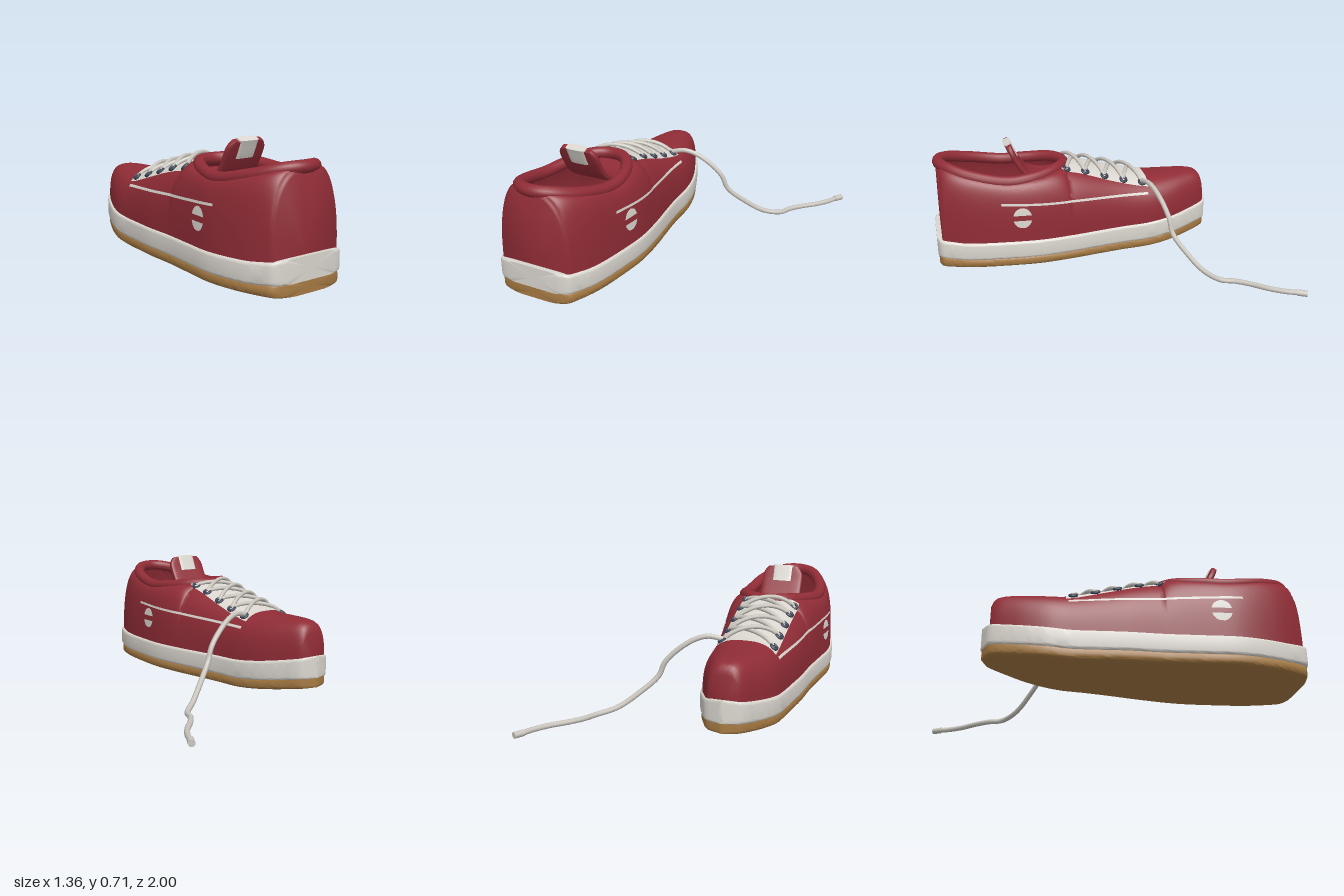
import * as THREE from 'three';
import { toCreasedNormals } from 'three/addons/utils/BufferGeometryUtils.js';

const mat = (name, color, side = THREE.DoubleSide) => {
  const m = new THREE.MeshStandardMaterial({ color, side });
  m.name = name;
  return m;
};

// Smooth interpolation through [position, value] pairs
function curve(table) {
  const slope = i => {
    const a = table[Math.max(0, i - 1)], b = table[Math.min(table.length - 1, i + 1)];
    return (b[1] - a[1]) / (b[0] - a[0]);
  };
  return z => {
    if (z <= table[0][0]) return table[0][1];
    let i = 0;
    while (i < table.length - 2 && z > table[i + 1][0]) i++;
    const [z0, a] = table[i], [z1, b] = table[i + 1], d = z1 - z0;
    const t = Math.min(1, (z - z0) / d), t2 = t * t, t3 = t2 * t;
    return a * (2 * t3 - 3 * t2 + 1) + b * (3 * t2 - 2 * t3)
      + d * (slope(i) * (t3 - 2 * t2 + t) + slope(i + 1) * (t3 - t2));
  };
}

// Grid surface from f(row, column); faces outward for anticlockwise columns seen from +z
function surface(rows, cols, f, crease = 0.75) {
  const pos = [], index = [];
  for (let i = 0; i <= rows; i++) for (let j = 0; j <= cols; j++) pos.push(...f(i, j));
  for (let i = 0; i < rows; i++) for (let j = 0; j < cols; j++) {
    const a = i * (cols + 1) + j, b = a + 1, d = a + cols + 1, c = d + 1;
    index.push(a, b, c, a, c, d);
  }
  const g = new THREE.BufferGeometry();
  g.setAttribute('position', new THREE.Float32BufferAttribute(pos, 3));
  g.setIndex(index);
  return toCreasedNormals(g, crease);
}

const sePow = (v, n) => Math.sign(v) * Math.pow(Math.abs(v), 2 / n);

// Footprint: right and left edges along the length
const edgeMin = curve([[-0.735, -0.385], [-0.72, -0.43], [-0.7, -0.475], [-0.6, -0.53], [-0.5, -0.57],
  [-0.4, -0.597], [-0.3, -0.606], [-0.15, -0.622], [0, -0.638], [0.2, -0.648], [0.4, -0.668], [0.6, -0.685],
  [0.8, -0.66], [0.95, -0.612], [0.985, -0.585], [1, -0.53]]);
const edgeMax = curve([[-0.735, -0.37], [-0.72, -0.325], [-0.7, -0.28], [-0.6, -0.228], [-0.5, -0.186],
  [-0.4, -0.158], [-0.3, -0.143], [-0.15, -0.13], [0, -0.108], [0.2, -0.075], [0.4, -0.055], [0.6, -0.066],
  [0.8, -0.092], [0.95, -0.14], [0.985, -0.165], [1, -0.21]]);
const rise = z => 0.065 * Math.pow(Math.max(0, (-0.25 - z) / 0.485), 1.5);
const topY = curve([[-0.695, 0.37], [-0.685, 0.4], [-0.66, 0.424], [-0.6, 0.435], [-0.3, 0.44], [-0.1, 0.483],
  [0.2, 0.557], [0.4, 0.537], [0.57, 0.525], [0.8, 0.57], [0.955, 0.61], [0.97, 0.59]]);

// Upper section at z: centre, half width, opening half width, base and top
const N = 2.8, COLLAR_Z = 0.58, COLLAR_R = 0.375;
function section(z) {
  const l = edgeMin(z * 1.01) + 0.012, r = edgeMax(z * 1.01) - 0.012;
  const k = (z - COLLAR_Z) / COLLAR_R;
  return { c: (l + r) / 2, w: (r - l) / 2, o: 0.217 * Math.sqrt(Math.max(0, 1 - k * k)), y0: 0.165 + rise(z), h: topY(z) };
}
const arc = t => Math.pow(Math.max(0, 1 - Math.pow(Math.min(1, Math.max(0, t)), N)), 1 / N);
function surfY(x, z) {
  const s = section(z);
  return s.y0 + (s.h - s.y0) * arc((Math.abs(x - s.c) - s.o) / (s.w - s.o));
}
function surfX(y, z, side, lift) {
  const s = section(z);
  return s.c + side * (s.o + (s.w - s.o) * arc((y - s.y0) / (s.h - s.y0)) + lift);
}

export function createModel() {
  const red = mat('red fabric', 0x902c36), white = mat('off white', 0xdad6cf);
  const gum = mat('gum rubber', 0xa67a43), navy = mat('dark slate', 0x3b4354);
  const lace = mat('lace cream', 0xcac6be);
  const shoe = new THREE.Group();
  shoe.name = 'shoe';
  const add = (name, geo, material) => {
    const m = new THREE.Mesh(geo, material);
    m.name = name;
    shoe.add(m);
    return m;
  };

  // Sole layers
  const soleLayer = (name, yb, yt, inset, n, material) => {
    const R = 72, C = 56;
    add(name, surface(R, C, (i, j) => {
      const t = Math.min(1, Math.max(0, (i - 1) / (R - 2)));
      const z = 0.1325 - (0.8675 - inset) * Math.cos(Math.PI * t);
      const zo = z * (0.8675 / (0.8675 - inset)) - 0.001;
      const l = edgeMin(zo) + inset, r = edgeMax(zo) - inset;
      const cap = i === 0 || i === R ? 0 : 1, a = (j % C) / C * Math.PI * 2;
      const heel = 0.012 * Math.max(0, (z - 0.85) / 0.15);
      return [(l + r) / 2 + cap * Math.max(0.004, (r - l) / 2) * sePow(Math.cos(a), n),
        (yb + yt) / 2 + rise(z) + heel * (yt > 0.1 ? 1 : 0) + cap * (yt - yb) / 2 * sePow(Math.sin(a), n), z];
    }), material);
  };
  soleLayer('outsole', 0.006, 0.085, 0.006, 5, gum);
  soleLayer('midsole', 0.06, 0.182, 0, 9, white);

  // Upper, two open halves with closed toe and heel ends
  const zs = [-0.695, -0.695, -0.69, -0.684, -0.675];
  for (let i = 0; i <= 30; i++) zs.push(-0.66 + i * 0.028);
  for (let i = 0; i <= 40; i++) zs.push(COLLAR_Z - COLLAR_R * Math.cos(Math.PI * i / 40));
  zs.push(0.963, 0.97, 0.97);
  for (const side of [1, -1]) {
    const M = 24, R = zs.length - 1;
    add(side > 0 ? 'upperLeft' : 'upperRight', surface(R, M, (i, j) => {
      const s = section(zs[i]), k = i === 0 || i === R ? 0 : 1;
      const a = (side > 0 ? j : M - j) / M * Math.PI / 2;
      const x = s.o + (s.w - s.o) * sePow(Math.cos(a), N);
      return [s.c + side * k * x, s.y0 + k * (s.h - s.y0) * sePow(Math.sin(a), N), zs[i]];
    }, 0.9), red);
  }

  // Insole and padded collar
  const insole = add('insole', new THREE.CircleGeometry(1, 48).rotateX(-Math.PI / 2), navy);
  insole.scale.set(0.245, 1, 0.37);
  insole.position.set(-0.373, 0.215, 0.575);
  const rim = [];
  for (let i = 0; i < 40; i++) {
    const a = i / 40 * Math.PI * 2, z = COLLAR_Z + COLLAR_R * Math.cos(a);
    rim.push(new THREE.Vector3(section(z).c + 0.217 * Math.sin(a), topY(z), z));
  }
  add('collar', new THREE.TubeGeometry(new THREE.CatmullRomCurve3(rim, true), 96, 0.034, 12, true), red);

  // Throat panel
  add('throatPanel', surface(28, 20, (i, j) => {
    const z = -0.31 + i / 28 * 0.545, x = -0.381 + (0.5 - j / 20) * 0.335;
    return [x, surfY(x, z) + 0.006, z];
  }), white);

  // Side stripes and half discs
  for (const side of [1, -1]) {
    const strip = (name, n, f) => add(name, surface(n, 6, (i, j) => {
      const [y, z] = f(i / n, side > 0 ? j / 6 : 1 - j / 6);
      return [surfX(y, z, side, 0.005), y, z];
    }), white);
    strip('sideStripe', 40, (u, v) => [0.362 + 0.048 * u + (v - 0.5) * 0.014, -0.3 + 0.92 * u]);
    for (const [y0, y1] of [[0.262, 0.307], [0.338, 0.385]])
      strip('sideHalfDisc', 14, (u, v) => {
        const y = y0 + (y1 - y0) * v;
        return [y, 0.5 + (u * 2 - 1) * 0.88 * Math.sqrt(Math.max(0, 0.063 ** 2 - (y - 0.323) ** 2))];
      });
  }

  // Tongue and its folded tag
  const spine = new THREE.CatmullRomCurve3([[0.18, 0.49], [0.32, 0.475], [0.43, 0.51], [0.495, 0.6], [0.54, 0.695]]
    .map(([z, y]) => new THREE.Vector3(0, y, z)));
  const flap = (name, t0, halfW, thick, over, material) => {
    const R = 24, C = 32;
    add(name, surface(R, C, (i, j) => {
      const t = t0 + (1 - t0) * Math.min(1, Math.max(0, (i - 1) / (R - 2)));
      const p = spine.getPoint(t), d = spine.getTangent(t), a = (j % C) / C * Math.PI * 2;
      const cap = i === 0 || i === R ? 0 : 1;
      const round = over ? 1 : 1 - 0.25 * Math.max(0, (t - 0.86) / 0.14) ** 2;
      const off = cap * thick * sePow(Math.sin(a), 5), along = over * t;
      return [-0.381 + cap * halfW * round * sePow(Math.cos(a), 5),
        p.y + d.y * along + d.z * off, p.z + d.z * along - d.y * off];
    }), material);
  };
  flap('tongue', 0, 0.124, 0.018, 0, red);
  flap('tongueTag', 0.76, 0.062, 0.022, 0.007, white);

  // Eyelets and crossed laces
  const rows = [-0.27, -0.15, -0.03, 0.09, 0.205], cols = [-0.523, -0.238];
  for (const z of rows) for (const x of cols) {
    const e = 0.01, y = surfY(x, z);
    const normal = new THREE.Vector3(-(surfY(x + e, z) - surfY(x - e, z)) / (2 * e), 1,
      -(surfY(x, z + e) - surfY(x, z - e)) / (2 * e)).normalize();
    const ring = add('eyelet', new THREE.TorusGeometry(0.018, 0.009, 8, 18), navy);
    ring.position.set(x, y, z).addScaledVector(normal, 0.008);
    ring.quaternion.setFromUnitVectors(new THREE.Vector3(0, 0, 1), normal);
  }
  const tube = (name, pts, r, seg) => add(name, new THREE.TubeGeometry(new THREE.CatmullRomCurve3(pts), seg, r, 8), lace);
  for (let i = 0; i < rows.length - 1; i++) for (const k of [0, 1]) {
    const pts = [];
    for (let s = 0; s <= 8; s++) {
      const t = s / 8, x = cols[k] + (cols[1 - k] - cols[k]) * t, z = rows[i] + (rows[i + 1] - rows[i]) * t;
      pts.push(new THREE.Vector3(x, surfY(x, z) + 0.01 + (k ? 0.03 : 0.011) * Math.sin(Math.PI * t), z));
    }
    tube('crossLace', pts, 0.012, 24);
  }

  // Loose lace trailing to the ground
  const trail = [[-0.238, 0.43, -0.27], [-0.16, 0.444, -0.29], [-0.09, 0.425, -0.31], [0, 0.365, -0.337],
    [0.07, 0.29, -0.358], [0.105, 0.21, -0.37], [0.2, 0.118, -0.43], [0.3, 0.045, -0.5], [0.39, 0.02, -0.575],
    [0.425, 0.02, -0.65], [0.48, 0.02, -0.725], [0.555, 0.02, -0.805], [0.61, 0.02, -0.885], [0.635, 0.02, -0.94],
    [0.663, 0.02, -0.99]].map(p => new THREE.Vector3(...p));
  tube('looseLace', trail, 0.015, 90);
  const from = trail[13], dir = trail[14].clone().sub(from);
  const tip = add('laceTip', new THREE.CylinderGeometry(0.018, 0.018, dir.length(), 12), lace);
  tip.position.copy(from).addScaledVector(dir, 0.5);
  tip.quaternion.setFromUnitVectors(new THREE.Vector3(0, 1, 0), dir.normalize());
  return shoe;
}
